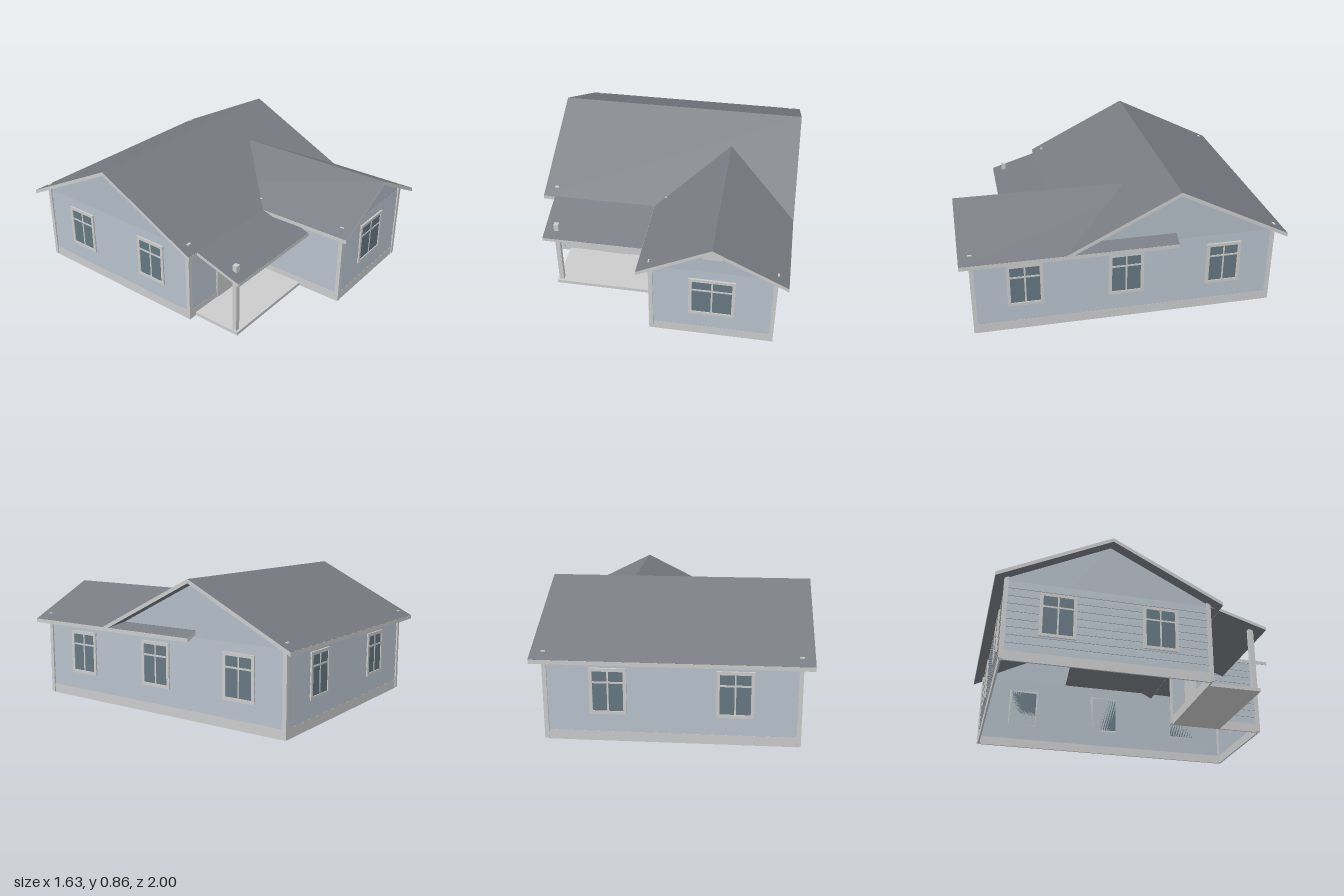
import * as THREE from 'three';

const trim = new THREE.MeshStandardMaterial({ color: 0xcccccc });
const roofing = new THREE.MeshStandardMaterial({ color: 0x777b81 });
const paint = new THREE.MeshStandardMaterial({ color: 0xb1bbc5 });
const wallSheet = new THREE.MeshStandardMaterial({ color: 0xb1bbc5, side: THREE.DoubleSide });
const glass = new THREE.MeshStandardMaterial({ color: 0x657782 });

const BOARD = 0.05, SKIRT = 0.06, EAVE = 0.525;

function add(parent, name, geometry, material) {
  const mesh = new THREE.Mesh(geometry, material);
  mesh.name = name;
  parent.add(mesh);
  return mesh;
}

// Box given by its min and max corners
function box(parent, name, [x0, y0, z0], [x1, y1, z1], material = trim) {
  const mesh = add(parent, name, new THREE.BoxGeometry(x1 - x0, y1 - y0, z1 - z0), material);
  mesh.position.set((x0 + x1) / 2, (y0 + y1) / 2, (z0 + z1) / 2);
  return mesh;
}

const shapeOf = (points) => new THREE.Shape(points.map(([x, y]) => new THREE.Vector2(x, y)));
const extrude = (points, depth) =>
  new THREE.ExtrudeGeometry(shapeOf(points), { depth, bevelEnabled: false });

// Lap siding: sawtooth profile run along the wall
function siding(wall, width) {
  const profile = [[0.0005, SKIRT]];
  for (let i = 0; i < 9; i++) {
    const y = SKIRT + i * BOARD;
    profile.push([0.006, y], [0.001, y + BOARD]);
  }
  profile.push([0.0005, SKIRT + 9 * BOARD]);
  const geometry = extrude(profile, width);
  geometry.rotateY(-Math.PI / 2).translate(width / 2, 0, 0);
  add(wall, 'siding', geometry, paint);
}

// Framed window with a cross of glazing bars
function windowUnit(wall, cx, width) {
  const unit = new THREE.Group();
  unit.name = 'window';
  unit.position.x = cx;
  wall.add(unit);
  const h = width / 2, y0 = 0.17, y1 = 0.453, f = 0.02;
  for (const s of [-1, 1]) {
    const x = s * (h - f / 2);
    box(unit, 'windowJamb', [x - f / 2, y0, 0], [x + f / 2, y1, 0.013]);
  }
  box(unit, 'windowSill', [-h + f, y0, 0], [h - f, y0 + f, 0.013]);
  box(unit, 'windowHead', [-h + f, y1 - f, 0], [h - f, y1, 0.013]);
  box(unit, 'windowGlass', [-h + f, y0 + f, 0], [h - f, y1 - f, 0.007], glass);
  box(unit, 'mullion', [-0.005, y0 + f, 0], [0.005, y1 - f, 0.01]);
  box(unit, 'transom', [-h + f, 0.36, 0], [h - f, 0.371, 0.0105]);
}

// Wall in its own frame: outside faces +z, centred on x
function makeWall(house, { name, at, turn, width, top = [], windows = [], pane = 0.22 }) {
  const wall = new THREE.Group();
  wall.name = name;
  wall.position.set(at[0], 0, at[1]);
  wall.rotation.y = turn;
  house.add(wall);
  const h = width / 2;
  const outline = [[-h, 0], [h, 0], [h, EAVE], ...top, [-h, EAVE]];
  add(wall, 'wallPanel', new THREE.ShapeGeometry(shapeOf(outline)), wallSheet);
  siding(wall, width);
  box(wall, 'skirt', [-h, 0, -0.004], [h, SKIRT, 0.007]);
  for (const x of windows) windowUnit(wall, x, pane);
  return wall;
}

// Gable roof along z, with ridge at x = 0; light rakes and eave fascias
function gableRoof(house, name, half, ridge, length) {
  const roof = new THREE.Group();
  roof.name = name;
  house.add(roof);
  const t = 0.025, low = ridge - half * 0.5;
  const profile = [[-half, low - t], [0, ridge - t], [half, low - t],
    [half, low], [0, ridge], [-half, low]];
  add(roof, 'roofSlopes', extrude(profile, length), [trim, roofing]);
  for (const s of [-1, 1]) {
    const x = s * half;
    box(roof, 'eaveFascia', [x - 0.001, low - t, 0], [x + 0.001, low - 0.0005, length]);
  }
  return roof;
}

function porch(house) {
  const group = new THREE.Group();
  group.name = 'porch';
  house.add(group);
  box(group, 'porchFloor', [-0.69, 0, 0.31], [0, 0.022, 0.645]);
  box(group, 'porchPost', [-0.68, 0.02, 0.6], [-0.65, 0.485, 0.63]);
  // Lean-to roof, profile drawn in z and y
  const profile = [[0.31, 0.515], [0.69, 0.4], [0.69, 0.42], [0.31, 0.537]];
  const slab = extrude(profile, 0.74);
  slab.rotateY(-Math.PI / 2);
  add(group, 'porchRoof', slab, [trim, roofing]);
  box(group, 'porchFascia', [-0.74, 0.4, 0.689], [0, 0.42, 0.691]);
}

export function createModel() {
  const house = new THREE.Group();
  house.name = 'house';
  const q = Math.PI / 2;

  // Walls
  const wing = makeWall(house, { name: 'wingFrontWall', at: [0.37, 0.93], turn: 0, width: 0.74,
    top: [[0, 0.715]], windows: [0], pane: 0.28 });
  box(wing, 'gableVent', [-0.06, 0.615, 0], [0.055, 0.685, 0.01]);
  makeWall(house, { name: 'leftSideWall', at: [0.74, 0], turn: q, width: 1.86,
    top: [[0.31, 0.835], [-0.31, EAVE]], windows: [-0.62, 0, 0.62] });
  makeWall(house, { name: 'rightSideWall', at: [-0.74, -0.31], turn: -q, width: 1.24,
    top: [[0, 0.835]], windows: [-0.31, 0.31] });
  makeWall(house, { name: 'backWall', at: [0, -0.93], turn: Math.PI, width: 1.48,
    windows: [-0.37, 0.37] });
  makeWall(house, { name: 'wingSideWall', at: [0, 0.62], turn: -q, width: 0.62 });
  const entry = makeWall(house, { name: 'entryWall', at: [-0.37, 0.31], turn: 0, width: 0.74 });

  // Door with a small light
  box(entry, 'door', [-0.11, 0.022, 0], [0.11, 0.42, 0.012]);
  box(entry, 'doorGlass', [-0.06, 0.295, 0], [0.06, 0.392, 0.014], glass);

  // Corner boards
  for (const [x, z] of [[-0.74, -0.93], [0.74, -0.93], [-0.74, 0.31], [0, 0.31], [0, 0.93], [0.74, 0.93]]) {
    box(house, 'cornerBoard', [x - 0.013, 0.006, z - 0.013], [x + 0.013, 0.551, z + 0.013]);
  }

  // Roofs
  const main = gableRoof(house, 'mainRoof', 0.69, 0.86, 1.63);
  main.rotation.y = q;
  main.position.set(-0.815, 0, -0.31);
  const cross = gableRoof(house, 'wingRoof', 0.445, 0.738, 1.31);
  cross.position.set(0.369, 0, -0.31);

  porch(house);
  return house;
}
